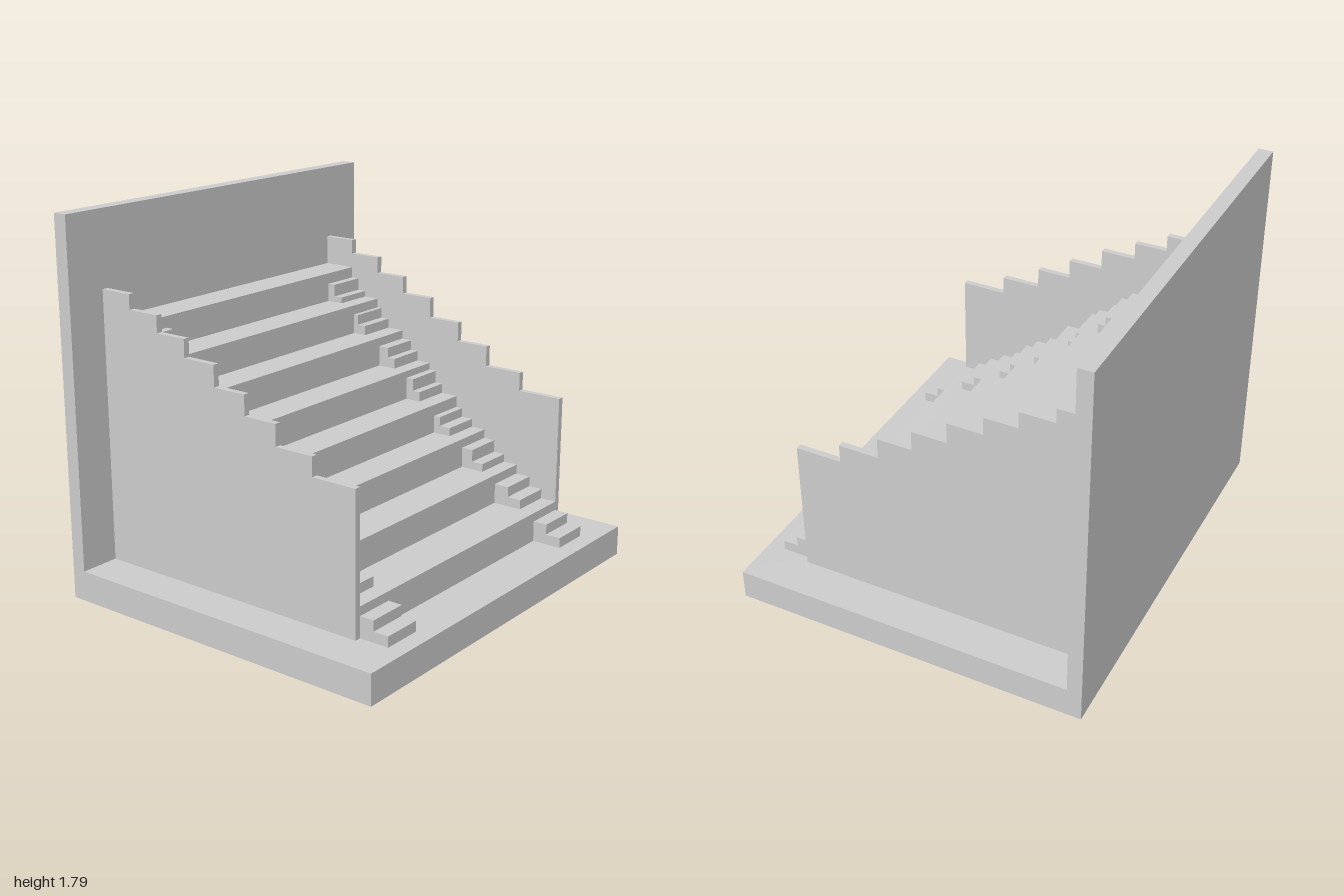
import * as THREE from 'three';

const material = new THREE.MeshStandardMaterial({ color: 0xcccccc, flatShading: true });

const BASE = 0.145, RISE = 0.143, WALL_X = -0.79;

// One entry per step, bottom to top: front edge x, side wall height above it,
// and the small corner steps in front: [upper edge x, lower edge x, lower top y, upper top y]
const STEPS = [
  { x: 0.63, wall: 0.81, small: [0.70, 0.775, 0.195, 0.245] },
  { x: 0.405, wall: 0.90, small: [0.48, 0.55, 0.335, 0.385] },
  { x: 0.21, wall: 1.0, small: [0.27, 0.33, 0.47, 0.53] },
  { x: 0.04, wall: 1.095, small: [0.075, 0.135, 0.615, 0.66] },
  { x: -0.13, wall: 1.195, small: [-0.09, -0.05, 0.765, 0.825] },
  { x: -0.30, wall: 1.28, small: [-0.245, -0.205, 0.91, 0.96] },
  { x: -0.46, wall: 1.36, small: [-0.435, -0.39, 1.05, 1.10] },
  { x: -0.625, wall: 1.43, small: [-0.585, -0.54, 1.175, 1.235] },
];

// Box given by its limits on each axis
function box(name, x0, x1, y0, y1, z0, z1) {
  const mesh = new THREE.Mesh(new THREE.BoxGeometry(x1 - x0, y1 - y0, z1 - z0), material);
  mesh.position.set((x0 + x1) / 2, (y0 + y1) / 2, (z0 + z1) / 2);
  mesh.name = name;
  return mesh;
}

// Side profile in x and y, extruded between two z values
function slab(name, points, z0, z1) {
  const shape = new THREE.Shape(points.map(([x, y]) => new THREE.Vector2(x, y)));
  const geometry = new THREE.ExtrudeGeometry(shape, { depth: z1 - z0, bevelEnabled: false });
  geometry.translate(0, 0, z0);
  const mesh = new THREE.Mesh(geometry, material);
  mesh.name = name;
  return mesh;
}

// Stepped outline rising towards the back wall
function steppedProfile(topOf) {
  const points = [[WALL_X, BASE]];
  STEPS.forEach((step, i) => {
    const below = i ? topOf(STEPS[i - 1], i - 1) : BASE;
    points.push([step.x, below], [step.x, topOf(step, i)]);
  });
  points.push([WALL_X, topOf(STEPS[STEPS.length - 1], STEPS.length - 1)]);
  return points;
}

export function createModel() {
  const model = new THREE.Group();
  model.name = 'grandstand';

  // Floor slab and tall back wall
  model.add(box('base', -0.86, 0.86, 0, BASE, -1, 1));
  model.add(box('backWall', -0.86, WALL_X, BASE, 1.79, -1, 1));

  // Wide seating steps
  model.add(slab('seatingSteps', steppedProfile((s, i) => BASE + RISE * (i + 1)), -0.775, 0.775));

  // Thin stepped side walls
  const wallProfile = steppedProfile((s) => s.wall);
  model.add(slab('leftSideWall', wallProfile, 0.775, 0.805));
  model.add(slab('rightSideWall', wallProfile, -0.805, -0.775));

  // Small two-tier steps at both ends of every tread
  for (const [side, z0, z1] of [['front', 0.58, 0.775], ['back', -0.775, -0.58]]) {
    const aisle = new THREE.Group();
    aisle.name = side + 'Aisle';
    STEPS.forEach(({ x, small: [xUpper, xLower, yLower, yUpper] }, i) => {
      const floor = BASE + RISE * i;
      aisle.add(slab('aisleStep', [
        [x, floor], [xLower, floor], [xLower, yLower],
        [xUpper, yLower], [xUpper, yUpper], [x, yUpper],
      ], z0, z1));
    });
    model.add(aisle);
  }

  return model;
}
